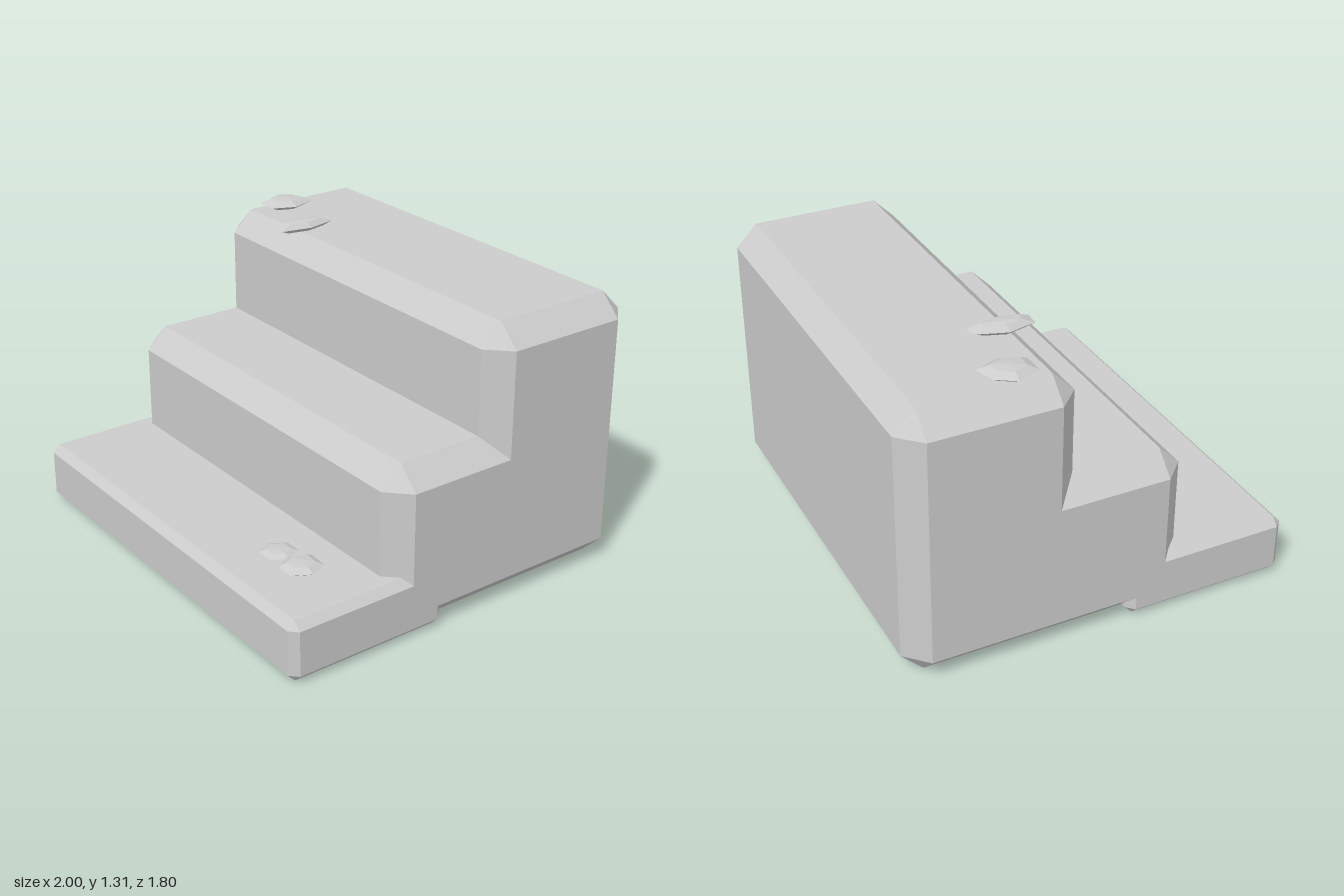
import * as THREE from 'three';
import { ConvexGeometry } from 'three/addons/geometries/ConvexGeometry.js';

const material = new THREE.MeshStandardMaterial({ color: 0xcccccc, flatShading: true });

// Block standing on y = 0 with every edge cut by a flat bevel
function chamferedBlock(width, height, depth, bevel) {
  const half = [width / 2, height / 2, depth / 2];
  const points = [];
  for (const sx of [-1, 1]) for (const sy of [-1, 1]) for (const sz of [-1, 1]) {
    for (let axis = 0; axis < 3; axis++) {
      // Each corner becomes three points, one on each face
      const [x, y, z] = half.map((h, i) => (i === axis ? h : h - bevel));
      points.push(new THREE.Vector3(sx * x, sy * y + height / 2, sz * z));
    }
  }
  return new ConvexGeometry(points);
}

// Flat faceted pebble: a plan outline [x, z] repeated as shrinking rings
function pebble(outline, y0, y1) {
  const cx = outline.reduce((s, p) => s + p[0], 0) / outline.length;
  const cz = outline.reduce((s, p) => s + p[1], 0) / outline.length;
  const points = [];
  for (const [scale, level] of [[0.7, 0], [1, 0.4], [0.62, 0.88], [0.2, 1]]) {
    for (const [x, z] of outline) {
      points.push(new THREE.Vector3(
        cx + (x - cx) * scale, y0 + (y1 - y0) * level, cz + (z - cz) * scale));
    }
  }
  return new ConvexGeometry(points);
}

export function createModel() {
  const model = new THREE.Group();
  const add = (name, geometry) => {
    const mesh = new THREE.Mesh(geometry, material);
    mesh.name = name;
    model.add(mesh);
    return mesh;
  };

  // Three overlapping steps, each a full-height block
  const steps = [
    ['lowerStep', 0.28, 0.51, 0.036],
    ['middleStep', 0.77, 0, 0.1],
    ['upperStep', 1.26, -0.51, 0.1],
  ];
  for (const [name, height, z, bevel] of steps) {
    add(name, chamferedBlock(2, height, 0.78, bevel)).position.z = z;
  }

  // Loose pebbles on the top and bottom treads
  add('upperPebbleOuter', pebble([[-0.935, -0.38], [-0.88, -0.465], [-0.78, -0.495],
    [-0.74, -0.375], [-0.785, -0.27], [-0.89, -0.27]], 1.265, 1.31));
  add('upperPebbleInner', pebble([[-0.575, -0.24], [-0.53, -0.37], [-0.475, -0.39],
    [-0.445, -0.25], [-0.475, -0.105], [-0.545, -0.11]], 1.265, 1.31));
  add('lowerPebbleInner', pebble([[0.41, 0.615], [0.45, 0.535], [0.535, 0.535],
    [0.57, 0.61], [0.53, 0.68], [0.445, 0.68]], 0.272, 0.298));
  add('lowerPebbleOuter', pebble([[0.565, 0.615], [0.61, 0.525], [0.71, 0.53],
    [0.745, 0.615], [0.7, 0.695], [0.61, 0.695]], 0.278, 0.317));

  return model;
}
